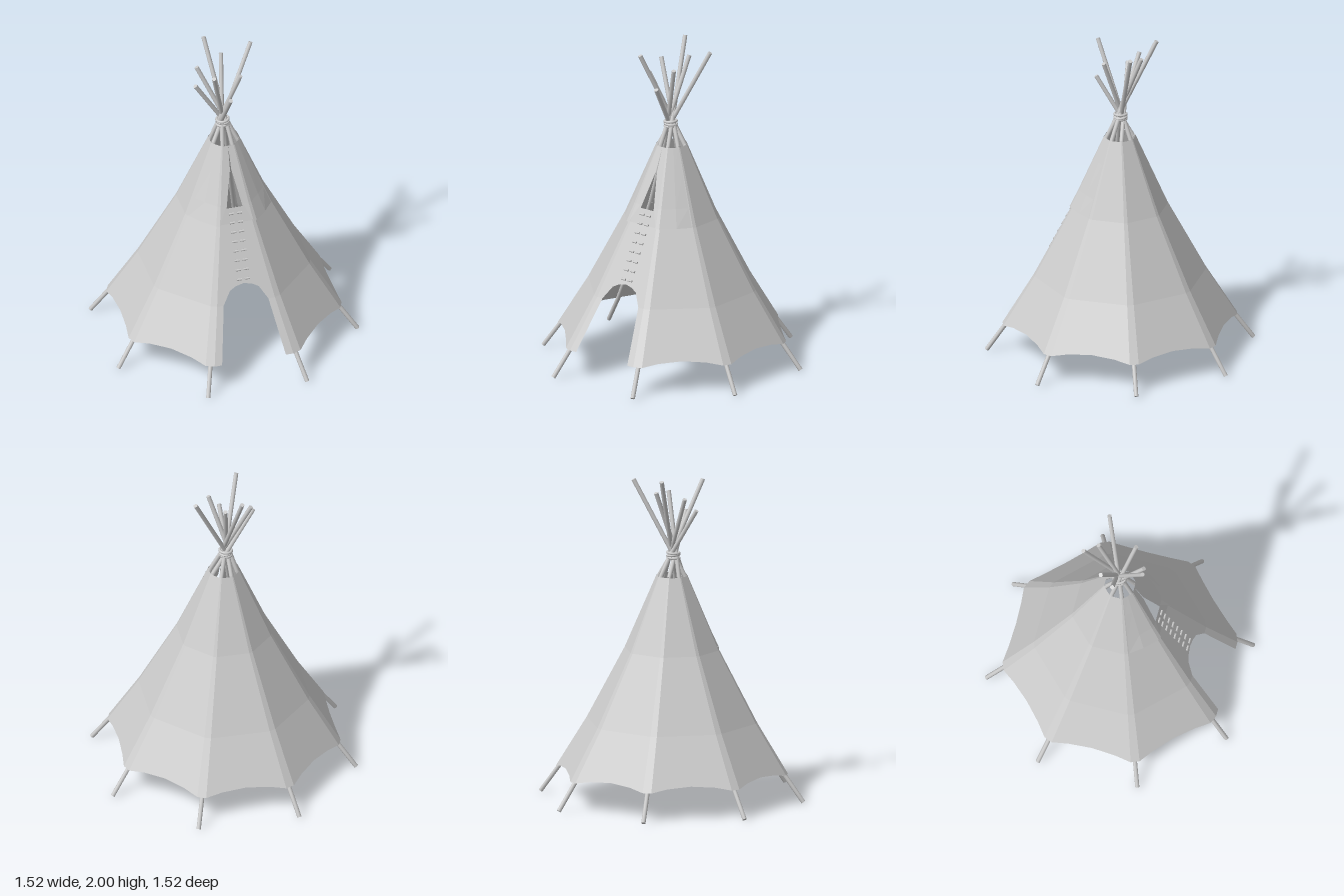
import * as THREE from 'three';

const canvasMat = new THREE.MeshStandardMaterial({ color: 0xcccccc, flatShading: true, side: THREE.DoubleSide });
const woodMat = new THREE.MeshStandardMaterial({ color: 0xcccccc });

// Distance of the cloth panels from the axis, by height
const PROFILE = [[0.17, 0.668], [0.48, 0.49], [0.92, 0.272], [1.37, 0.09]];
const EDGE = 0.37; // half width of a panel relative to that distance

function apothem(y) {
  let i = 0;
  while (i < PROFILE.length - 2 && y > PROFILE[i + 1][0]) i++;
  const [y0, a0] = PROFILE[i], [y1, a1] = PROFILE[i + 1];
  return a0 + (a1 - a0) * (y - y0) / (y1 - y0);
}

// Point on panel k (0 = front, 1 = front left, ...), u across, out = lift off the cloth
function panelPoint(k, u, y, out = 0) {
  const th = k * Math.PI / 4, a = apothem(y), n = a + out, t = u * n;
  return [Math.sin(th) * n + Math.cos(th) * t, y, Math.cos(th) * n - Math.sin(th) * t];
}

// Surface through rows of points, bottom row first, left to right seen from outside
function sheet(rows, name) {
  const cols = rows[0].length, index = [];
  for (let r = 0; r < rows.length - 1; r++) {
    for (let c = 0; c < cols - 1; c++) {
      const a = r * cols + c, b = a + 1, d = a + cols, e = d + 1;
      index.push(a, b, e, a, e, d);
    }
  }
  const g = new THREE.BufferGeometry();
  g.setAttribute('position', new THREE.Float32BufferAttribute(rows.flat(2), 3));
  g.setIndex(index);
  g.computeVertexNormals();
  const m = new THREE.Mesh(g, canvasMat);
  m.name = name;
  return m;
}

function rod(a, b, r) {
  const d = b.clone().sub(a);
  const m = new THREE.Mesh(new THREE.CylinderGeometry(r, r, d.length(), 8), woodMat);
  m.position.copy(a).addScaledVector(d, 0.5);
  m.quaternion.setFromUnitVectors(new THREE.Vector3(0, 1, 0), d.normalize());
  return m;
}

export function createModel() {
  const model = new THREE.Group();
  const levels = PROFILE.map(p => p[0]);

  // Cloth: seven closed panels with a scalloped hem, and narrow strips over the poles
  const cover = new THREE.Group();
  cover.name = 'cover';
  for (let k = 0; k < 8; k++) {
    if (k > 0) {
      const us = [-1, -0.6, 0, 0.6, 1];
      cover.add(sheet(levels.map((y, i) => us.map(u =>
        panelPoint(k, u * EDGE, i ? y : y + 0.03 * (1 - u * u)))), 'coverPanel'));
    }
    cover.add(sheet(levels.map(y => [panelPoint(k, EDGE, y), panelPoint(k + 1, -EDGE, y)]), 'coverCorner'));
  }

  // Front panel halves: [height, half width of the opening]
  const opening = [[0.17, 0.2], [0.48, 0.14], [0.555, 0.09], [0.575, 0.05], [0.585, 0],
    [0.92, 0], [1.01, 0], [1.01, 0.05], [1.23, 0.004], [1.37, 0]];
  // Smoke flaps: [height, inner edge, lift, reach over the neighbouring panel]
  const flap = [[0.92, 0.1, 0.014, 0.34], [1.03, 0.052, 0.008, 0.34], [1.23, 0.008, 0.005, 0.34], [1.37, 0.006, 0.003, 0.34]];
  for (const s of [1, -1]) {
    const side = row => s > 0 ? row : row.map(p => [-p[0], p[1], p[2]]).reverse();
    cover.add(sheet(opening.map(([y, x]) => side([
      panelPoint(0, x / apothem(y), y), panelPoint(0, EDGE, y)])), 'frontPanel'));
    cover.add(sheet(flap.map(([y, x, o, reach]) => side([
      panelPoint(0, x / apothem(y), y, o), panelPoint(0, EDGE, y, o),
      panelPoint(1, -EDGE, y, o), panelPoint(1, 0, y, o), panelPoint(1, reach, y, 0.001)])), 'smokeFlap'));
  }
  model.add(cover);

  // Lacing pins down the front seam
  const pins = new THREE.Group();
  pins.name = 'lacingPins';
  for (let i = 0; i < 8; i++) {
    const y = 0.61 + i * 0.0525, z = apothem(y) + 0.003;
    for (const s of [1, -1]) {
      const pin = rod(new THREE.Vector3(s * 0.025 - 0.016, y, z), new THREE.Vector3(s * 0.025 + 0.016, y, z), 0.007);
      pin.name = 'lacingPin';
      pins.add(pin);
    }
  }
  model.add(pins);

  // Poles follow the cover from inside, cross above it and end at these tips
  const tips = [[-0.07, 1.99, -0.21], [-0.15, 1.87, -0.08], [-0.18, 1.79, 0], [-0.11, 1.95, 0.17],
    [0, 1.75, 0.15], [0.08, 1.87, 0.08], [0.2, 1.96, -0.12], [0.02, 1.9, -0.14]];
  tips.forEach((tip, k) => {
    const th = (k + 0.5) * Math.PI / 4;
    const at = (r, y) => new THREE.Vector3(Math.sin(th) * r, y, Math.cos(th) * r);
    const pts = [at(0.812, 0.006), ...levels.map(y => at(apothem(y) * 1.065 - 0.017, y)), new THREE.Vector3(...tip)];
    const pole = new THREE.Group();
    pole.name = 'pole';
    for (let i = 0; i < pts.length - 1; i++) pole.add(rod(pts[i], pts[i + 1], 0.0135));
    model.add(pole);
  });

  // Rope lashing round the crossing
  const rope = new THREE.Group();
  rope.name = 'ropeLashing';
  [[1.482, 0.1], [1.497, -0.12], [1.512, 0.08]].forEach(([y, tilt]) => {
    const loop = new THREE.Mesh(new THREE.TorusGeometry(0.036, 0.008, 8, 20), woodMat);
    loop.name = 'ropeLoop';
    loop.rotation.set(Math.PI / 2, tilt, 0);
    loop.position.set(-0.01, y, 0);
    rope.add(loop);
  });
  model.add(rope);
  return model;
}
